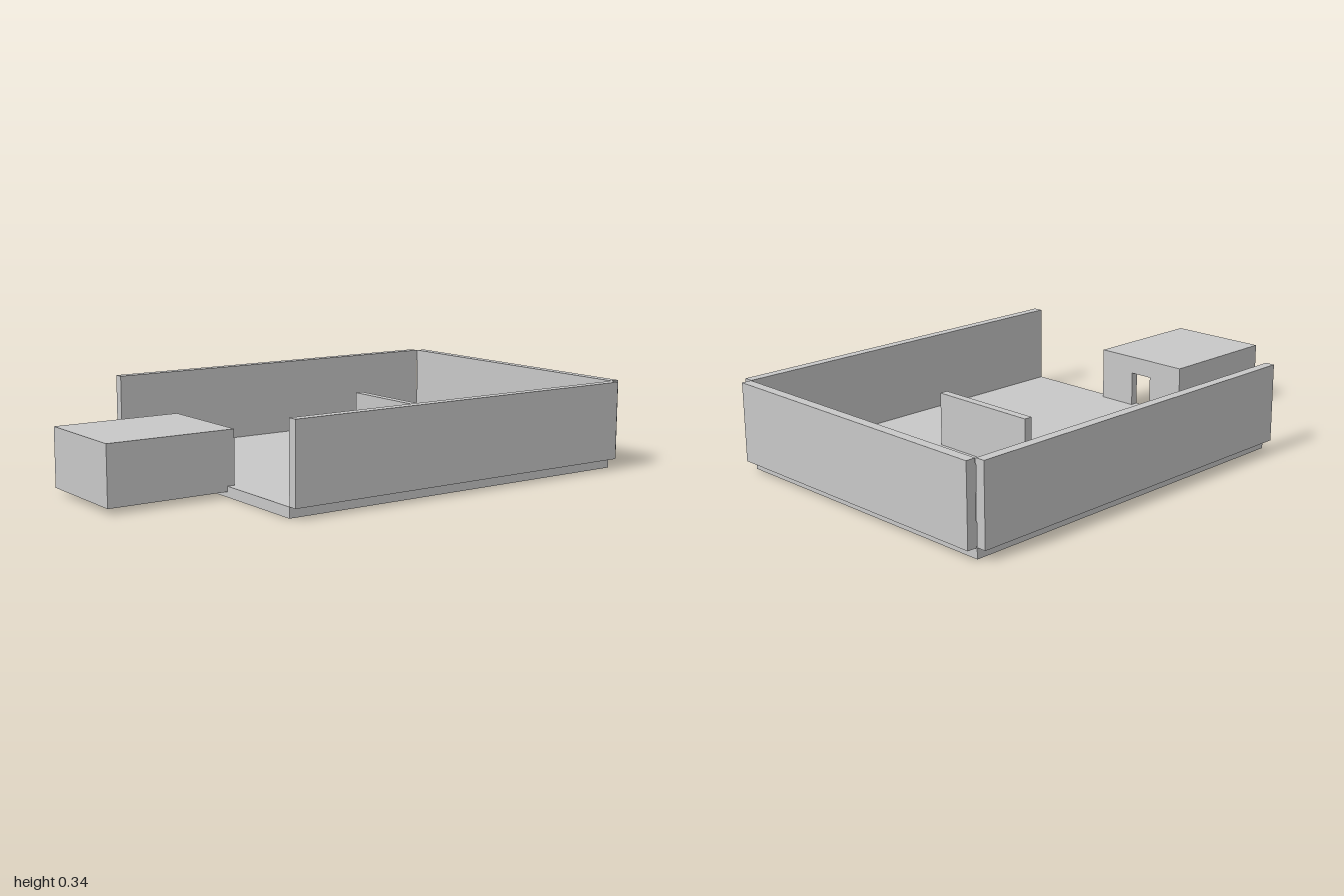
import * as THREE from 'three';

export function createModel() {
  const model = new THREE.Group();
  model.name = 'walledTray';
  const grey = new THREE.MeshStandardMaterial({ color: 0xc8c8c8 });
  grey.name = 'lightGrey';

  function add(name, geometry) {
    const mesh = new THREE.Mesh(geometry, grey);
    mesh.name = name;
    model.add(mesh);
    return mesh;
  }

  // Box geometry given by its limits on each axis
  function span(x0, x1, y0, y1, z0, z1) {
    return new THREE.BoxGeometry(x1 - x0, y1 - y0, z1 - z0)
      .translate((x0 + x1) / 2, (y0 + y1) / 2, (z0 + z1) / 2);
  }

  // Floor slab and the three walls standing around its edges
  add('floor', span(-0.53, 0.96, 0, 0.04, -0.597, 0.597));
  add('frontWall', span(-0.53, 0.96, 0.04, 0.34, 0.597, 0.634));
  add('backWall', span(-0.53, 0.96, 0.04, 0.34, -0.634, -0.597));
  add('endWall', span(0.962, 1, 0.04, 0.34, -0.597, 0.597));

  // Free-standing partition
  add('partition', span(0.348, 0.381, 0.04, 0.245, -0.225, 0.225));

  // Hollow entrance block, open on the side facing the tray
  const shell = span(-1, -0.53, 0.02, 0.243, -0.204, 0.204);
  shell.setIndex(Array.from(shell.index.array).slice(6));
  shell.clearGroups();
  add('entranceBlock', shell);

  // Wall of the block with a doorway cut up from its lower edge
  const outline = [
    [-0.204, 0.02], [-0.045, 0.02], [-0.045, 0.175], [0.05, 0.175],
    [0.05, 0.02], [0.204, 0.02], [0.204, 0.243], [-0.204, 0.243],
  ].map(([x, y]) => new THREE.Vector2(x, y));
  const doorway = new THREE.ExtrudeGeometry(new THREE.Shape(outline), { depth: 0.03, bevelEnabled: false });
  doorway.rotateY(Math.PI / 2).translate(-0.53, 0, 0);
  add('doorwayWall', doorway);

  return model;
}
